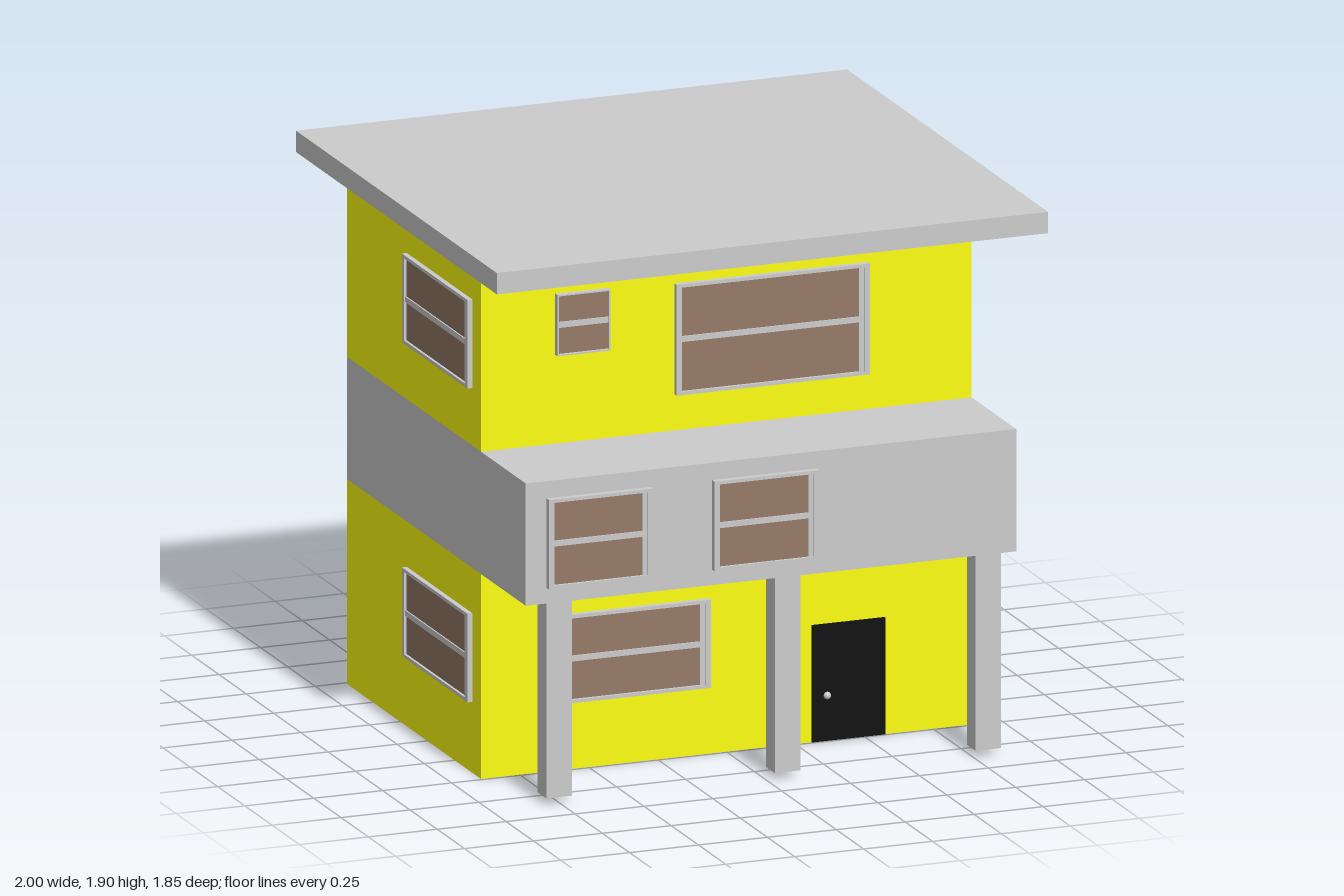
import * as THREE from 'three';

const grey = new THREE.MeshStandardMaterial({ color: 0xcccccc });
const yellow = new THREE.MeshStandardMaterial({ color: 0xffff11 });
const glass = new THREE.MeshStandardMaterial({ color: 0x957a66 });
const black = new THREE.MeshStandardMaterial({ color: 0x111111 });

// Box given by its minimum and maximum corners
function box(name, [x0, y0, z0], [x1, y1, z1], material) {
  const mesh = new THREE.Mesh(new THREE.BoxGeometry(x1 - x0, y1 - y0, z1 - z0), material);
  mesh.position.set((x0 + x1) / 2, (y0 + y1) / 2, (z0 + z1) / 2);
  mesh.name = name;
  return mesh;
}

// Window facing +z: frame, pane, crossbar and an inner stile at the right end
function makeWindow(name, w, h, { rim = 0.02, gap = false, depth = 0.022 } = {}) {
  const group = new THREE.Group();
  group.name = name;
  const x = w / 2, y = h / 2, edge = Math.min(rim, 0.012);
  const stile = rim > 0.01 ? 0.018 : 0;
  const paneEnd = x - rim - stile;
  group.add(
    box('frameTop', [-x, y - edge, 0], [x, y, depth], grey),
    box('frameBottom', [-x, -y, 0], [x, -y + edge, depth], grey),
    box('frameLeft', [-x, -y + edge, 0], [-x + rim, y - edge, depth], grey),
    box('frameRight', [x - rim, -y + edge, 0], [x, y - edge, depth], grey),
    box('pane', [-x + rim, -y + edge, 0.004], [paneEnd, y - edge, 0.011], glass),
    box('crossbar', [-x + rim, -0.01, 0.003], [paneEnd, 0.01, 0.016], grey)
  );
  // The side windows leave a narrow opening where the others have the stile
  if (stile && !gap) {
    group.add(box('innerStile', [paneEnd, -y + edge, 0.003], [x - rim, y - edge, 0.016], grey));
  }
  return group;
}

export function createModel() {
  const house = new THREE.Group();
  house.name = 'house';

  // Storeys, overhanging middle floor and flat roof
  house.add(
    box('groundFloor', [-0.89, 0, -0.737], [0.89, 0.72, 0.492], yellow),
    box('middleFloor', [-0.89, 0.72, -0.737], [0.89, 1.15, 0.902], grey),
    box('topFloor', [-0.89, 1.15, -0.737], [0.89, 1.83, 0.492], yellow),
    box('roof', [-1, 1.83, -0.926], [1, 1.905, 0.915], grey)
  );

  // Posts under the overhang
  for (const x of [-0.757, 0.072, 0.8]) {
    house.add(box('post', [x - 0.046, 0.025, 0.792], [x + 0.046, 0.72, 0.872], grey));
  }

  // Front windows: x range, y range, back plane
  const front = [
    ['groundWindow', -0.67, -0.08, 0.25, 0.56, 0.533],
    ['middleWindow', -0.815, -0.435, 0.775, 1.09, 0.904],
    ['middleWindow', -0.215, 0.167, 0.775, 1.09, 0.904],
    ['topWindow', -0.205, 0.497, 1.29, 1.68, 0.533],
    ['smallWindow', -0.637, -0.445, 1.475, 1.69, 0.533]
  ];
  for (const [name, x0, x1, y0, y1, z] of front) {
    const rim = name === 'smallWindow' ? 0.005 : 0.02;
    const win = makeWindow(name, x1 - x0, y1 - y0, { rim });
    win.position.set((x0 + x1) / 2, (y0 + y1) / 2, z);
    house.add(win);
  }

  // Side windows on both walls and both outer floors
  for (const side of [-1, 1]) {
    for (const y of [0.405, 1.508]) {
      const win = makeWindow('sideWindow', 0.6, 0.312, { gap: side > 0, depth: side > 0 ? 0.014 : 0.02 });
      win.rotation.y = side * Math.PI / 2;
      win.position.set(side * 0.888, y, 0.112);
      // keep the pane clear of the wall surface
      if (side > 0) win.position.x = 0.89;
      house.add(win);
    }
  }

  // Back windows
  for (const x of [-0.375, 0.39]) {
    const win = makeWindow('backWindow', 0.6, 0.312);
    win.rotation.y = Math.PI;
    win.position.set(x, 0.405, -0.742);
    house.add(win);
  }

  // Front door with round knob
  house.add(box('door', [0.305, 0.005, 0.502], [0.57, 0.415, 0.512], black));
  const knob = new THREE.Mesh(new THREE.SphereGeometry(0.013, 16, 12), grey);
  knob.name = 'doorKnob';
  knob.position.set(0.358, 0.165, 0.514);
  house.add(knob);

  return house;
}
